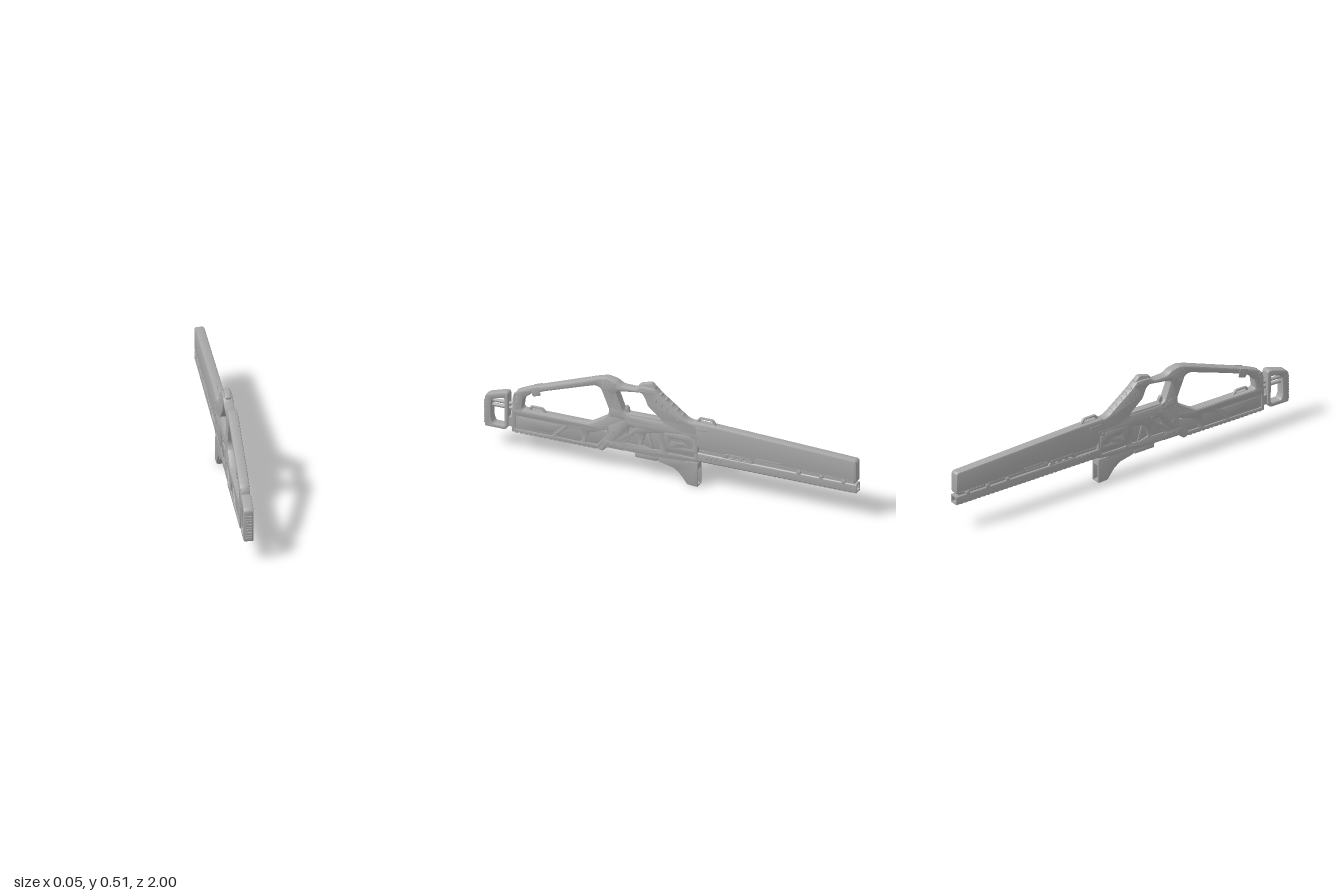
import * as THREE from 'three';
import { toCreasedNormals } from 'three/addons/utils/BufferGeometryUtils.js';

const grey = new THREE.MeshStandardMaterial({ color: 0xa8a8a8 });
grey.name = 'grey';

// Closed outline with softened corners, points are [z, y]
function trace(path, pts, r) {
  const n = pts.length;
  const toward = (a, b) => {
    const d = Math.hypot(b[0] - a[0], b[1] - a[1]);
    const t = Math.min(r / d, 0.45);
    return [a[0] + (b[0] - a[0]) * t, a[1] + (b[1] - a[1]) * t];
  };
  pts.forEach((p, i) => {
    const a = toward(p, pts[(i + n - 1) % n]);
    const b = toward(p, pts[(i + 1) % n]);
    if (i === 0) path.moveTo(...a); else path.lineTo(...a);
    if (r > 0) path.quadraticCurveTo(p[0], p[1], ...b);
  });
  path.closePath();
  return path;
}

export function createModel() {
  const model = new THREE.Group();
  model.name = 'longGun';

  const add = (name, geo) => {
    const m = new THREE.Mesh(geo, grey);
    m.name = name;
    model.add(m);
    return m;
  };

  // Side profile extruded across x, centred on cx
  const slab = (name, pts, width, { holes = [], bevel = 0.006, r = 0.008, cx = 0, hr = r } = {}) => {
    const shape = trace(new THREE.Shape(), pts, r);
    holes.forEach(h => shape.holes.push(trace(new THREE.Path(), h, hr)));
    const geo = new THREE.ExtrudeGeometry(shape, {
      depth: width - 2 * bevel, curveSegments: 3, bevelEnabled: bevel > 0,
      bevelThickness: bevel, bevelSize: bevel, bevelOffset: -bevel, bevelSegments: 2,
    });
    geo.translate(0, 0, -(width - 2 * bevel) / 2);
    geo.rotateY(-Math.PI / 2);
    geo.translate(cx, 0, 0);
    return add(name, toCreasedNormals(geo, 0.6));
  };
  // Matching thin plates on both flanks, between |x| = x0 and x1
  const flanks = (name, pts, x0, x1, opt = {}) => [-1, 1].forEach(s =>
    slab(name, pts, x1 - x0, { bevel: 0.0015, r: 0.005, ...opt, cx: s * (x0 + x1) / 2 }));
  const box = (name, w, h, d, x, y, z, tilt = 0) => {
    const m = add(name, new THREE.BoxGeometry(w, h, d));
    m.position.set(x, y, z);
    m.rotation.x = tilt;
    return m;
  };
  const rect = (z0, z1, y0, y1) => [[z0, y0], [z1, y0], [z1, y1], [z0, y1]];

  // Upper frame: rear post, sloping strut, pillar, bridge and hand grip
  slab('upperFrame', [
    [0.845, 0.19], [0.845, 0.29], [0.825, 0.322], [0.76, 0.352], [0.4, 0.482], [0.345, 0.498],
    [0.29, 0.488], [0.262, 0.468], [0.185, 0.467], [0.16, 0.488], [0.085, 0.49], [0.06, 0.463],
    [-0.09, 0.35], [-0.15, 0.34], [-0.15, 0.25], [0.25, 0.25], [0.36, 0.2], [0.45, 0.19],
  ], 0.05, {
    bevel: 0.009, r: 0.014,
    holes: [
      [[0.795, 0.228], [0.787, 0.29], [0.735, 0.332], [0.4, 0.444], [0.372, 0.436],
        [0.325, 0.322], [0.338, 0.285], [0.43, 0.228]],
      [[0.288, 0.43], [0.27, 0.437], [0.155, 0.453], [0.138, 0.435], [0.12, 0.388],
        [0.035, 0.317], [0.22, 0.317], [0.25, 0.33]],
    ],
  });
  // Bands around the strut and pillar
  flanks('strutBand', [[0.75, 0.352], [0.7, 0.37], [0.69, 0.325], [0.732, 0.312]].map(
    ([z, y]) => [z, y + 0.003]), 0.024, 0.0262);
  flanks('pillarPlate', [[0.37, 0.48], [0.29, 0.475], [0.3, 0.42], [0.362, 0.43]], 0.024, 0.0262);
  flanks('pillarFoot', [[0.318, 0.34], [0.268, 0.33], [0.24, 0.29], [0.32, 0.29]], 0.024, 0.0262);
  // Rear post latch
  flanks('latch', rect(0.81, 0.835, 0.26, 0.315), 0.022, 0.0265,
    { holes: [rect(0.817, 0.828, 0.29, 0.305), rect(0.817, 0.828, 0.268, 0.282)], hr: 0.002 });

  // Rounded knob above the grip
  slab('gripKnob', [[0.175, 0.485], [0.165, 0.497], [0.115, 0.512], [0.1, 0.512], [0.075, 0.485],
    [0.09, 0.465], [0.16, 0.465]], 0.032, { bevel: 0.01, r: 0.01 });
  // Finger ridges along the sloping grip
  for (let i = 0; i < 5; i++) {
    const z = 0.055 - i * 0.029, y = 0.455 - i * 0.022;
    slab('gripRidge', [[z + 0.012, y + 0.008], [z - 0.004, y + 0.009], [z - 0.014, y - 0.012],
      [z - 0.004, y - 0.03], [z + 0.014, y - 0.018]], 0.036, { bevel: 0.006, r: 0.006 });
    flanks('gripGroove', [[z + 0.02, y - 0.014], [z + 0.012, y - 0.01], [z + 0.014, y - 0.04],
      [z + 0.022, y - 0.042]], 0.024, 0.0262, { r: 0.002 });
  }
  // Trigger and raised receiver top
  slab('trigger', [[0.245, 0.36], [0.228, 0.352], [0.22, 0.31], [0.25, 0.31]], 0.018, { bevel: 0.003 });
  slab('receiverTop', [[0.245, 0.3], [0.235, 0.325], [0.04, 0.328], [0.02, 0.3]], 0.04);

  // Lower stock: narrow core with recessed flank skins
  slab('stockCore', [[0.845, 0.1], [0.845, 0.2], [0.4, 0.205], [0.3, 0.2], [0.36, 0.1]], 0.038);
  flanks('stockSkin', [[0.845, 0.1], [0.845, 0.222], [0.425, 0.222], [0.32, 0.245], [0.32, 0.18],
    [0.385, 0.1]], 0.0185, 0.0255, {
    holes: [
      [[0.828, 0.118], [0.828, 0.193], [0.56, 0.193], [0.635, 0.118]],
      [[0.615, 0.118], [0.545, 0.182], [0.475, 0.19], [0.47, 0.128], [0.485, 0.118]],
      [[0.455, 0.122], [0.43, 0.18], [0.335, 0.215], [0.335, 0.19], [0.39, 0.122]],
    ],
  });
  flanks('stockInset', [[0.815, 0.13], [0.815, 0.182], [0.59, 0.182], [0.64, 0.13]], 0.0185, 0.021);
  for (let i = 0; i < 17; i++) box('stockTooth', 0.036, 0.012, 0.014, 0, 0.099, 0.825 - i * 0.026);

  // Receiver: core, truss skins and forward panel
  slab('receiverCore', [[0.37, 0.098], [0.34, 0.22], [0.25, 0.29], [-0.15, 0.3], [-0.15, 0.13],
    [0, 0.11], [0.19, 0.11], [0.2, 0.118], [0.34, 0.12], [0.355, 0.095]], 0.038);
  flanks('receiverSkin', [[0.385, 0.098], [0.335, 0.185], [0.33, 0.24], [0.25, 0.285], [-0.15, 0.285],
    [-0.15, 0.14], [-0.02, 0.118], [0.34, 0.12], [0.36, 0.094]], 0.0185, 0.0255, {
    holes: [
      [[0.24, 0.162], [0.175, 0.232], [0.165, 0.162]],
      [[0.228, 0.212], [0.215, 0.258], [0.175, 0.262]],
      [[0.148, 0.17], [0.13, 0.235], [0.06, 0.255], [0.048, 0.16], [0.1, 0.157]],
      rect(0.01, -0.13, 0.155, 0.165),
    ], hr: 0.004,
  });
  flanks('trussBar', [[0.125, 0.235], [0.108, 0.24], [0.085, 0.158], [0.102, 0.158]], 0.0185, 0.0235);
  flanks('forwardPanel', [[0.02, 0.18], [0.03, 0.265], [-0.09, 0.275], [-0.14, 0.255], [-0.14, 0.185],
    [-0.1, 0.172]], 0.024, 0.0265, { holes: [rect(-0.01, -0.06, 0.225, 0.24), rect(-0.08, -0.12, 0.2, 0.21)], hr: 0.002 });
  // Control block with three buttons
  flanks('controlBlock', rect(0.355, 0.24, 0.118, 0.158), 0.024, 0.0262,
    { holes: [0.345, 0.31, 0.275].map(z => rect(z, z - 0.022, 0.128, 0.148)), hr: 0.004 });
  // Bolts
  [[0.175, 0.265], [0.02, 0.15], [-0.12, 0.265], [0.3, 0.205]].forEach(([z, y]) => {
    const bolt = add('bolt', new THREE.CylinderGeometry(0.009, 0.009, 0.055, 12));
    bolt.rotation.z = Math.PI / 2;
    bolt.position.set(0, y, z);
  });
  slab('bellyPlate', rect(0.19, 0.07, 0.092, 0.12), 0.04, { bevel: 0.004 });

  // Forward foot: hollow between its side walls, open tunnel above
  flanks('footWall', [[0.07, 0.13], [0.06, 0.098], [-0.02, 0.08], [-0.055, 0.055], [-0.095, 0.003],
    [-0.15, 0], [-0.15, 0.13]], 0.016, 0.0255);
  slab('footFront', [[-0.05, 0.05], [-0.057, 0.055], [-0.07, 0.052], [-0.108, 0.008], [-0.148, 0.008],
    [-0.148, 0], [-0.095, 0.002]], 0.034, { bevel: 0, r: 0 });
  box('footRoof', 0.034, 0.035, 0.2, 0, 0.112, -0.05);

  // Barrel shroud above, hollow rail below, web between
  slab('shroud', [[-0.105, 0.28], [-0.105, 0.338], [-0.125, 0.35], [-0.24, 0.348], [-0.99, 0.318],
    [-1, 0.31], [-1, 0.2], [-0.17, 0.2], [-0.15, 0.215]], 0.05, { bevel: 0.01, r: 0.008 });
  box('shroudWeb', 0.032, 0.05, 0.83, 0, 0.192, -0.57);
  const square = h => [[-h, -h], [h, -h], [h, h], [-h, h]];
  const tube = trace(new THREE.Shape(), square(0.0235), 0.006);
  tube.holes.push(trace(new THREE.Path(), square(0.015), 0.003));
  const railGeo = new THREE.ExtrudeGeometry(tube, { depth: 0.86, bevelEnabled: false, curveSegments: 3 });
  add('rail', toCreasedNormals(railGeo, 0.6)).position.set(0, 0.1635, -1);
  box('railCore', 0.031, 0.031, 0.8, 0, 0.1635, -0.55);
  for (let i = 0; i < 30; i++) box('railTooth', 0.034, 0.006, 0.014, 0, 0.139, -0.18 - i * 0.027);
  flanks('shroudLip', rect(-0.16, -0.985, 0.204, 0.21), 0.024, 0.0262, { r: 0.002 });
  // Slanted vents on the rail
  for (let i = 0; i < 4; i++) {
    const z = -0.195 - i * 0.024;
    flanks('railVent', [[z + 0.008, 0.158], [z - 0.004, 0.182], [z - 0.015, 0.182], [z - 0.003, 0.158]],
      0.022, 0.0262, { r: 0.002 });
  }
  // Truss strip and small plates on the shroud's lower edge
  flanks('shroudTruss', [[-0.28, 0.188], [-0.3, 0.215], [-0.43, 0.215], [-0.45, 0.188]], 0.016, 0.0265, {
    holes: [-0.31, -0.35, -0.39].map(z => [[z, 0.194], [z - 0.012, 0.209], [z - 0.03, 0.209], [z - 0.018, 0.194]]),
    hr: 0.002,
  });
  flanks('shroudPlate', rect(-0.46, -0.6, 0.213, 0.223), 0.024, 0.0262, { r: 0.003 });
  [-0.68, -0.8, -0.92].forEach(z => flanks('railClip', rect(z, z - 0.02, 0.18, 0.2), 0.014, 0.024));
  flanks('shroudSlot', rect(-0.13, -0.2, 0.312, 0.324), 0.024, 0.0262,
    { holes: [rect(-0.136, -0.194, 0.315, 0.321)], r: 0.003, bevel: 0.0005 });

  // Carry loops
  slab('frontLoop', [[-0.135, 0.345], [-0.15, 0.374], [-0.222, 0.374], [-0.245, 0.345]], 0.014,
    { bevel: 0.003, holes: [[[-0.153, 0.352], [-0.16, 0.365], [-0.216, 0.365], [-0.226, 0.352]]], hr: 0.003 });
  slab('rearLoop', [[0.765, 0.222], [0.755, 0.25], [0.69, 0.25], [0.665, 0.222]], 0.014,
    { bevel: 0.003, holes: [[[0.75, 0.23], [0.746, 0.241], [0.696, 0.241], [0.686, 0.23]]], hr: 0.003 });

  // Shoulder pad frame, its ribbed face and the rods that carry it
  slab('shoulderPad', [[0.993, 0.1], [0.993, 0.265], [0.975, 0.278], [0.885, 0.305], [0.868, 0.3],
    [0.868, 0.115], [0.885, 0.1]], 0.05, {
    bevel: 0.006, r: 0.01,
    holes: [[[0.948, 0.122], [0.958, 0.15], [0.958, 0.24], [0.945, 0.258], [0.888, 0.272], [0.886, 0.122]]],
  });
  for (let i = 0; i < 9; i++) box('padRib', 0.03, 0.01, 0.016, 0, 0.118 + i * 0.0145, 0.992);
  [0.215, 0.24].forEach(y => {
    const rod = add('padRod', new THREE.CylinderGeometry(0.009, 0.009, 0.15, 12));
    rod.rotation.x = Math.PI / 2;
    rod.position.set(0, y, 0.89);
  });
  box('padLink', 0.03, 0.05, 0.05, 0, 0.145, 0.857);

  return model;
}
